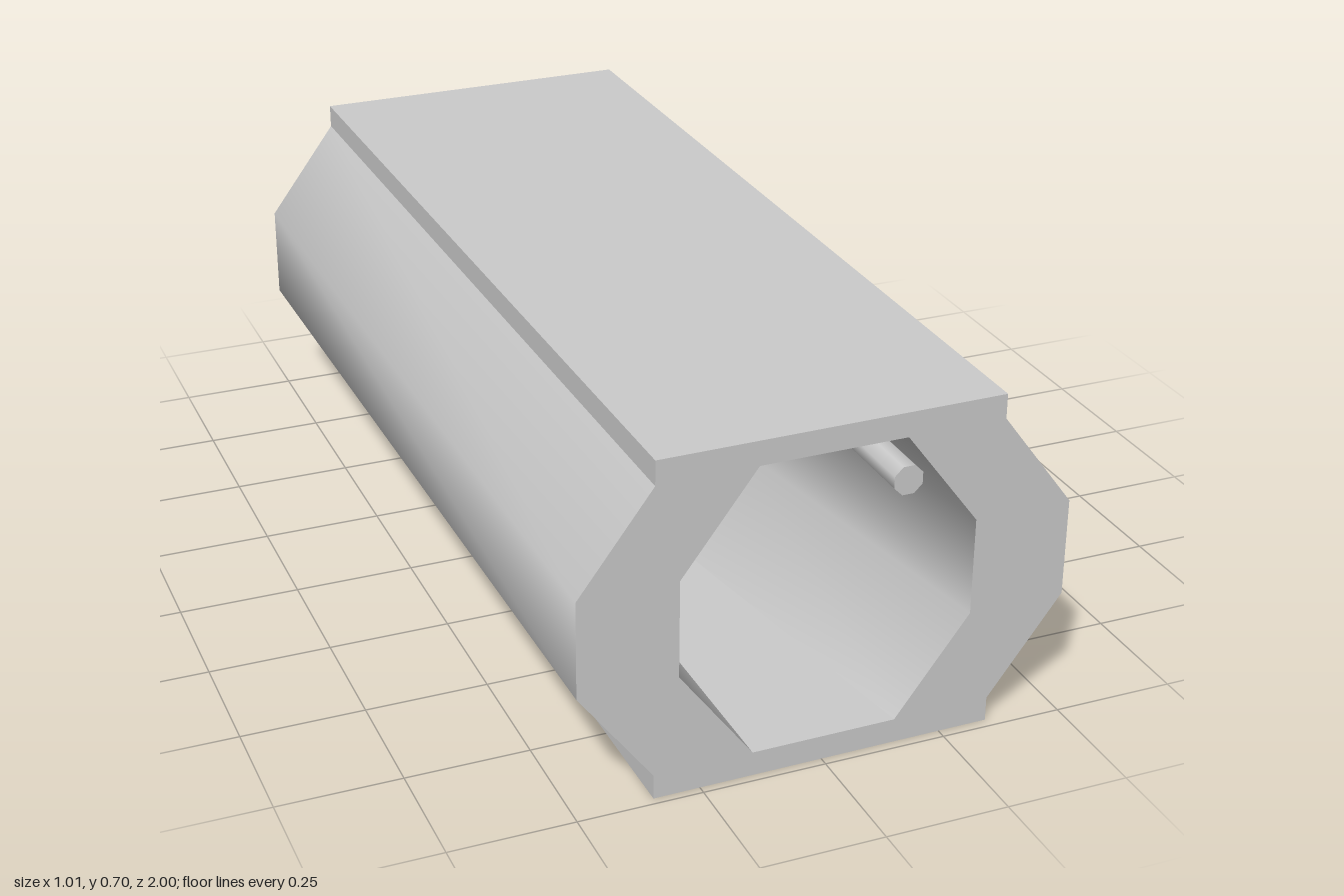
import * as THREE from 'three';

const mat = new THREE.MeshStandardMaterial({ color: 0xcccccc });

// Tunnel space (t = 1 front, t = -1 back) to model space: slight skew of ends and right wall
const place = (x, y, t) => [x < 0 ? x + 0.0085 * t : x, y, 0.988 * t - 0.007 - 0.008 * x];

// Lengthwise skin through the given stations; smooth inside one strip.
// Counter-clockwise points face outward, clockwise points face inward.
function strip(points, stations, bend = () => 0) {
  const pos = [], idx = [], n = points.length;
  for (const t of stations) {
    for (const [x, y] of points) pos.push(...place(x + (x > 0 ? bend(t) : 0), y, t));
  }
  for (let s = 0; s < stations.length - 1; s++) {
    for (let i = 0; i < n - 1; i++) {
      const a = s * n + i, b = a + n;
      idx.push(a, b, a + 1, a + 1, b, b + 1);
    }
  }
  const g = new THREE.BufferGeometry();
  g.setAttribute('position', new THREE.Float32BufferAttribute(pos, 3));
  g.setIndex(idx);
  g.computeVertexNormals();
  return g;
}

const mirror = (pts) => pts.map(([x, y]) => [-x, y]).reverse();

export function createModel() {
  const model = new THREE.Group();
  const add = (name, geometry) => {
    const m = new THREE.Mesh(geometry, mat);
    m.name = name;
    model.add(m);
    return m;
  };

  // Half profiles on the +x side, running upward
  const side = [[0.352, 0.05], [0.502, 0.25], [0.502, 0.45], [0.352, 0.65]];
  const lowerLip = [[0.352, 0], [0.352, 0.05]];
  const upperLip = [[0.352, 0.65], [0.352, 0.7]];
  const bore = [[0.152, 0.05], [0.303, 0.25], [0.303, 0.45], [0.152, 0.65]];
  const ends = [1, -1];

  // Outer skin
  add('leftOuterWall', strip(side, ends));
  add('rightOuterWall', strip(mirror(side), ends));
  for (const lip of [lowerLip, upperLip]) {
    add('leftLip', strip(lip, ends));
    add('rightLip', strip(mirror(lip), ends));
  }
  add('roof', strip([[0.352, 0.7], [-0.352, 0.7]], ends));
  add('base', strip([[-0.352, 0], [0.352, 0]], ends));

  // Bore, whose left wall swells inward along the length
  const stations = [1, 0.2, -1];
  const swell = (t) => (t === 0.2 ? -0.123 : 0);
  add('leftBoreWall', strip([...bore].reverse(), stations, swell));
  add('rightBoreWall', strip(mirror(bore).reverse(), stations));
  add('boreCeiling', strip([[-0.152, 0.65], [0.152, 0.65]], stations, swell));
  add('boreFloor', strip([[0.152, 0.05], [-0.152, 0.05]], stations, swell));

  // End faces with the bore cut out
  const toVec = (pts) => pts.map(([x, y]) => new THREE.Vector2(x, y));
  const half = [lowerLip[0], ...side, upperLip[1]];
  for (const t of ends) {
    const shape = new THREE.Shape(toVec([...half, ...mirror(half)]));
    shape.holes.push(new THREE.Path(toVec([...bore, ...mirror(bore)])));
    const g = new THREE.ShapeGeometry(shape);
    const p = g.attributes.position;
    for (let i = 0; i < p.count; i++) p.setXYZ(i, ...place(p.getX(i), p.getY(i), t));
    if (t < 0) g.index.array.reverse();
    g.computeVertexNormals();
    add(t > 0 ? 'frontFace' : 'backFace', g);
  }

  // Thin pipe under the ceiling
  const pipe = new THREE.CylinderGeometry(0.031, 0.031, 2, 8);
  pipe.rotateY(Math.PI / 8).rotateX(Math.PI / 2);
  add('pipe', pipe).position.set(0.145, 0.574, 0);

  return model;
}
